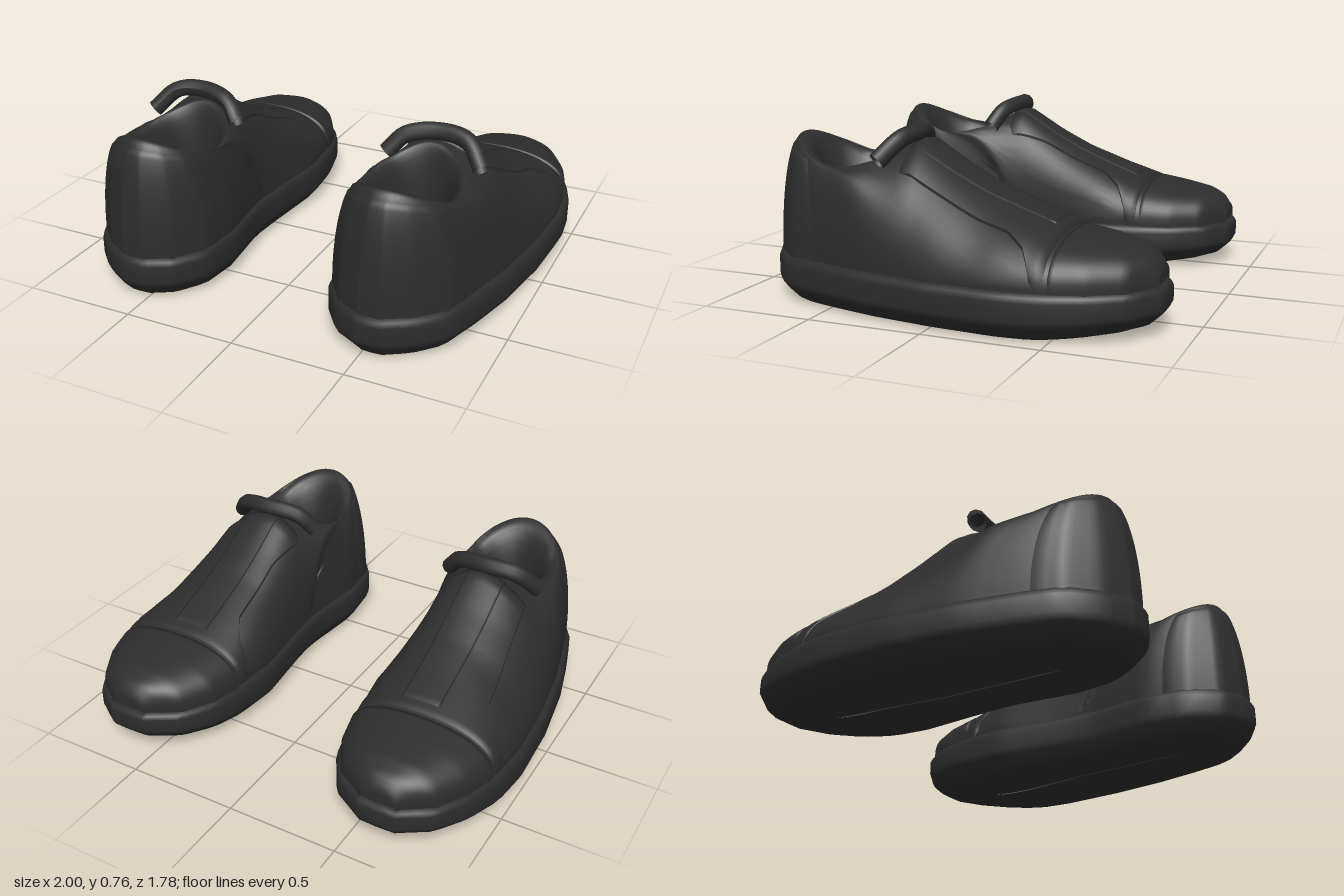
import * as THREE from 'three';

const black = new THREE.MeshStandardMaterial({ color: 0x2d2d2d, side: THREE.DoubleSide });
black.name = 'black';

// Piecewise tables along z (toe at -z, heel at +z)
const INNER = [[-.89, .545], [-.8, .395], [-.66, .31], [-.5, .27], [-.3, .25], [0, .285], [.19, .3], [.51, .26], [.7, .285], [.83, .38], [.89, .5]];
const OUTER = [[-.89, .7], [-.8, .835], [-.66, .92], [-.48, .98], [-.3, 1], [0, .985], [.3, .94], [.54, .88], [.71, .825], [.82, .715], [.89, .59]];
const CENTRE = [[-.89, .62], [-.5, .61], [0, .57], [.89, .55]];
const RIDGE = [[-.885, .2], [-.867, .26], [-.83, .305], [-.75, .335], [-.5, .375], [-.3, .45], [-.14, .515], [0, .59],
  [.15, .685], [.22, .68], [.3, .64], [.4, .6], [.5, .585], [.6, .605], [.7, .66], [.76, .7]];
const OUTER_CURVE = [[-.6, 2.4], [-.2, 1.75]];

function at(table, v) {
  if (v <= table[0][0]) return table[0][1];
  for (let i = 1; i < table.length; i++) {
    const [a, p] = table[i - 1], [b, q] = table[i];
    if (v <= b) return p + (q - p) * (v - a) / (b - a);
  }
  return table[table.length - 1][1];
}
const { lerp, smoothstep } = THREE.MathUtils;
const INSET = .025, BASE = .2;

// Surface through rows of points; closed joins the last column to the first
function loft(rows, closed) {
  const n = rows[0].length, index = [];
  for (let r = 0; r < rows.length - 1; r++) {
    for (let c = 0; c < (closed ? n : n - 1); c++) {
      const a = r * n + c, b = r * n + (c + 1) % n;
      index.push(a, a + n, b, b, a + n, b + n);
    }
  }
  const g = new THREE.BufferGeometry();
  g.setAttribute('position', new THREE.Float32BufferAttribute(rows.flat(2), 3));
  g.setIndex(index);
  g.computeVertexNormals();
  return g;
}
const ring = (f, n = 72) => Array.from({ length: n }, (_, i) => f(i / n * Math.PI * 2));

// Footprint point at angle a (0 = toe, PI = heel), drawn in by inset
function outline(a, inset) {
  const z = -Math.cos(a) * .89, s = Math.sin(a), c = at(CENTRE, z);
  const x = Math.abs(s) < 1e-6 ? (at(INNER, z) + at(OUTER, z)) / 2 : at(s > 0 ? OUTER : INNER, z);
  return [c + (x - c) * (1 - inset / .36), z * (1 - inset / .89)];
}

// Arched cross-section of the upper: u runs -1..1 from inner to outer edge
function archHeight(u, z) {
  const k = u > 0 ? at(OUTER_CURVE, z) : 2.4;
  return BASE + (at(RIDGE, z) - BASE) * Math.pow(Math.max(0, 1 - Math.abs(u) ** k), 1 / k);
}
function halfWidth(u, z) {
  const zo = z / (1 - INSET / .89), c = at(CENTRE, zo);
  return [c, Math.abs(at(u > 0 ? OUTER : INNER, zo) - c) * (1 - INSET / .36)];
}

// Upper surface between collar crest (s = 0) and sole edge (s = 1)
const crest = a => [.55 + .21 * Math.sin(a), .49 - .27 * Math.cos(a)];
function upperPoint(a, s, grow = 0) {
  const [cx, cz] = crest(a), [ox, oz] = outline(a, INSET);
  const x = lerp(cx, ox, s), z = lerp(cz, oz, s);
  const [c, h] = halfWidth(x - at(CENTRE, z), z);
  const wall = BASE + (at(RIDGE, cz) - BASE) * Math.pow(Math.max(0, 1 - s ** 1.9), 1 / 1.9);
  let y = lerp(archHeight((x - c) / h, z), wall, smoothstep(z, .08, .4));
  if (s > .9999) y = BASE - .015;
  return [x + grow * Math.sin(a), y, z - grow * Math.cos(a)];
}

function upper() {
  const rows = [];
  for (let i = 0; i <= 26; i++) {
    const s = Math.sin((1 - i / 26) * Math.PI / 2);
    rows.push(ring(a => upperPoint(a, s)));
  }
  // Padded lining rolling down into the shoe
  const floor = .3;
  for (let i = 1; i <= 9; i++) {
    const t = Math.sin(i / 9 * Math.PI / 2);
    rows.push(ring(a => {
      const [x, z] = crest(a), y = upperPoint(a, 0)[1];
      return [lerp(x, .55 + .135 * Math.sin(a), t), lerp(floor, y, Math.sqrt(Math.max(0, 1 - t * t))),
        lerp(z, .45 - .18 * Math.cos(a), t)];
    }));
  }
  return loft(rows, true);
}

function insole() {
  const g = new THREE.CircleGeometry(1, 40);
  return g.rotateX(-Math.PI / 2).scale(.14, 1, .185).translate(.55, .302, .45);
}

function sole() {
  // [inset, height], from the middle of the tread to the top edge
  const profile = [[.355, 0], [.2, 0], [.075, 0], [.055, .012], [.012, .06], [0, .09], [0, .165], [.008, .185], [.02, .2], [.06, .203]];
  return loft(profile.map(([inset, y]) => ring(a => {
    const [x, z] = outline(a, inset);
    const lift = .04 * smoothstep(-z, .38, .88) * (1 - y / .203);
    return [x, y + lift, z];
  })), true);
}

// Raised panel lying on the upper; bounds(z) gives its u range
function panel(z0, z1, bounds, lift, nz = 26, nu = 28, grow = 0) {
  const rows = [];
  for (let r = -1; r <= nz + 1; r++) {
    const z = lerp(z0, z1, Math.min(1, Math.max(0, r / nz))), row = [];
    const [u0, u1] = bounds(z);
    for (let c = -1; c <= nu + 1; c++) {
      const edge = r < 0 || r > nz || c < 0 || c > nu;
      const t = Math.min(1, Math.max(0, c / nu));
      const u = lerp(u0, u1, (1 - Math.cos(t * Math.PI)) / 2);
      const [m, h] = halfWidth(u, z);
      row.push([m + u * (h + grow), archHeight(u, z) + (edge ? -.012 : lift), z]);
    }
    rows.push(row);
  }
  return loft(rows, false);
}

// Saddle widens to the sole just behind the toe cap
const SADDLE_IN = [[-.49, .27], [-.43, .29], [-.38, .36], [-.3, .41], [0, .42], [.2, .38]];
const SADDLE_OUT = [[-.49, .97], [-.43, .95], [-.38, .88], [-.3, .83], [0, .79], [.2, .77]];
const toU = (x, z, side) => {
  const [c, h] = halfWidth(side, z);
  return THREE.MathUtils.clamp((x - c) / h, -1, 1);
};
const saddleBounds = z => [toU(at(SADDLE_IN, z), z, -1), toU(at(SADDLE_OUT, z), z, 1)];
const tongueBounds = z => [toU(.5, z, -1), toU(.67, z, 1)];

function heelCounter() {
  const rows = [];
  for (let r = 0; r <= 16; r++) {
    const s = Math.sin((1 - r / 16 * .8) * Math.PI / 2), row = [];
    for (let c = 0; c <= 32; c++) {
      const edge = c === 0 || c === 32 || r === 16;
      row.push(upperPoint(Math.PI + lerp(-.87, .87, c / 32), s, edge ? -.004 : .006));
    }
    rows.push(row);
  }
  return loft(rows, false);
}

function tongueRoll() {
  const points = [[.36, .625, .28], [.43, .7, .24], [.57, .725, .205], [.7, .71, .225], [.785, .625, .29]];
  const path = new THREE.CatmullRomCurve3(points.map(p => new THREE.Vector3(...p)));
  return new THREE.TubeGeometry(path, 24, .038, 10);
}

// Mirrored copy with corner order restored
function mirrored(source) {
  const g = source.clone().scale(-1, 1, 1), ix = g.index.array;
  for (let i = 0; i < ix.length; i += 3) [ix[i], ix[i + 1]] = [ix[i + 1], ix[i]];
  g.computeVertexNormals();
  return g;
}

export function createModel() {
  const parts = {
    sole: sole(),
    upper: upper(),
    insole: insole(),
    toeCap: panel(-.868, -.505, () => [-1, 1], .012, 22, 32, .008),
    saddle: panel(-.485, .2, saddleBounds, .012),
    tongueStrip: panel(-.44, .2, tongueBounds, .017, 24, 8),
    heelCounter: heelCounter(),
    tongueRoll: tongueRoll(),
  };
  const model = new THREE.Group();
  model.name = 'pairOfShoes';
  for (const side of ['left', 'right']) {
    const shoe = new THREE.Group();
    shoe.name = side + 'Shoe';
    for (const [name, geometry] of Object.entries(parts)) {
      const mesh = new THREE.Mesh(side === 'left' ? geometry : mirrored(geometry), black);
      mesh.name = name;
      shoe.add(mesh);
    }
    model.add(shoe);
  }
  return model;
}
